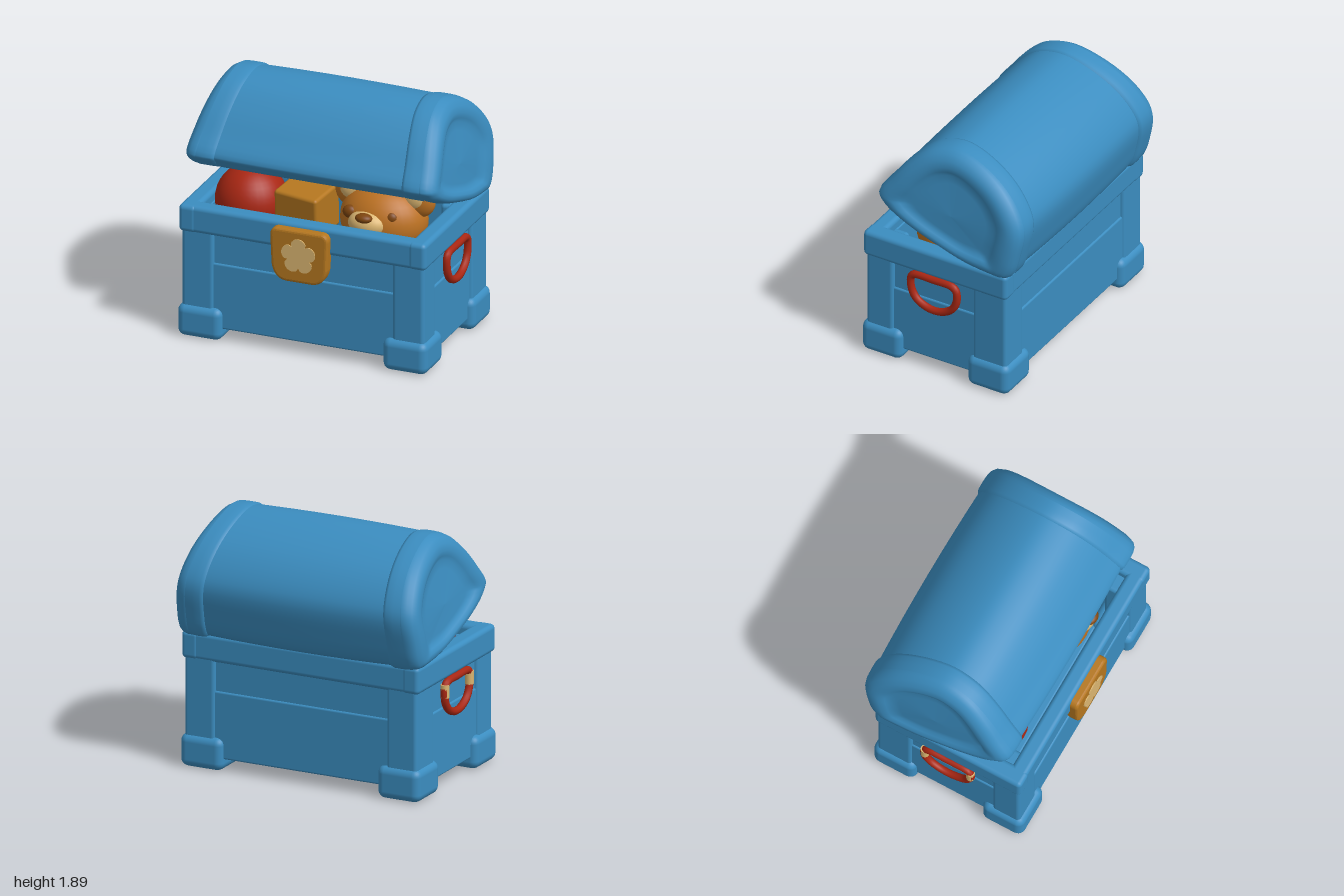
import * as THREE from 'three';
import { RoundedBoxGeometry } from 'three/addons/geometries/RoundedBoxGeometry.js';

const mat = (name, color) => Object.assign(new THREE.MeshStandardMaterial({ color }), { name });

export function createModel() {
  const blue = mat('blue', 0x3b8dc0), red = mat('red', 0xa92713), gold = mat('gold', 0xb5771f);
  const cream = mat('cream', 0xdcb671), orange = mat('orange', 0xbd7222), brown = mat('brown', 0x7d450f);
  const model = new THREE.Group();
  model.name = 'toyChest';

  const add = (name, geo, material, parent = model) => {
    const m = new THREE.Mesh(geo, material);
    m.name = name;
    parent.add(m);
    return m;
  };
  // Rounded box given by its limits
  const box = (name, x0, x1, y0, y1, z0, z1, r = 0.03, material = blue) => {
    const m = add(name, new RoundedBoxGeometry(x1 - x0, y1 - y0, z1 - z0, 3, r), material);
    m.position.set((x0 + x1) / 2, (y0 + y1) / 2, (z0 + z1) / 2);
    return m;
  };
  const ball = (name, x, y, z, sx, sy, sz, material) => {
    const m = add(name, new THREE.SphereGeometry(1, 32, 20), material);
    m.position.set(x, y, z);
    m.scale.set(sx, sy, sz);
    return m;
  };

  // Chest walls, with a stepped lower panel on front and back
  box('frontWall', -0.9, 0.9, 0.1, 0.95, 0.48, 0.58, 0.01);
  box('frontLowerPanel', -0.8, 0.8, 0.09, 0.6, 0.5, 0.592, 0.015);
  box('backWall', -0.9, 0.9, 0.1, 0.95, -0.545, -0.45, 0.01);
  box('backLowerPanel', -0.8, 0.8, 0.09, 0.6, -0.557, -0.48, 0.015);
  for (const s of [-1, 1]) {
    const side = (name, a, b, ...rest) => box(name, Math.min(s * a, s * b), Math.max(s * a, s * b), ...rest);
    side('sideWall', 0.82, 0.92, 0.1, 0.95, -0.5, 0.53, 0.01);
    side('sideLowerPanel', 0.84, 0.932, 0.09, 0.6, -0.5, 0.53, 0.015);
    side('sideRim', 0.83, 0.97, 0.82, 1.03, -0.585, 0.625, 0.035);
    side('frontPost', 0.7, 0.95, 0.09, 0.95, 0.38, 0.605, 0.03);
    side('backPost', 0.7, 0.95, 0.09, 0.95, -0.572, -0.29, 0.03);
    side('frontFoot', 0.63, 0.98, 0, 0.25, 0.3, 0.64, 0.06);
    side('backFoot', 0.63, 0.98, 0, 0.25, -0.6, -0.25, 0.06);
  }
  box('frontRim', -0.95, 0.95, 0.82, 1.03, 0.49, 0.62, 0.035);
  box('backRim', -0.95, 0.95, 0.82, 1.03, -0.58, -0.45, 0.035);

  // Floor planks
  for (let i = 0; i < 5; i++) {
    const z = -0.54 + i * 0.222;
    box('floorPlank', -0.9, 0.9, 0.09, 0.2, z, z + 0.222, 0.012);
  }

  // Lid cross-sections as [z, y]: outer arc, inner arc, underside of the end wall
  const outer = [[0.485, 1.34], [0.52, 1.39], [0.42, 1.54], [0.3, 1.69], [0.15, 1.82], [0, 1.875], [-0.12, 1.88],
    [-0.3, 1.825], [-0.48, 1.72], [-0.6, 1.6], [-0.675, 1.47], [-0.69, 1.37], [-0.66, 1.2], [-0.62, 1.06], [-0.58, 1.01]];
  const inner = [[-0.5, 1.03], [-0.57, 1.25], [-0.56, 1.45], [-0.4, 1.66], [-0.1, 1.77], [0.12, 1.7], [0.31, 1.5], [0.41, 1.285]];
  const under = [[-0.48, 1.01], [-0.25, 1.04], [0, 1.115], [0.25, 1.205], [0.42, 1.29]];
  const scaled = (pts, s) => pts.map(([z, y]) => [-0.1 + (z + 0.1) * s, 1.38 + (y - 1.38) * s]);

  // One ring at x; lean pulls it towards the middle with height
  const ring = (pts, x, lean = 0) => {
    const curve = new THREE.CatmullRomCurve3(pts.map(([z, y]) => new THREE.Vector3(0, y, z)), true);
    return curve.getPoints(pts.length * 4).slice(0, -1).map(p => {
      const h = Math.max(0, p.y - 1.1);
      return new THREE.Vector3(x - Math.sign(x) * lean * h * h, p.y, p.z);
    });
  };
  // Surface through rings ordered by rising x
  const loft = (name, rings) => {
    const n = rings[0].length, index = [];
    for (let i = 0; i + 1 < rings.length; i++) for (let j = 0; j < n; j++) {
      const k = (j + 1) % n, a = i * n, b = a + n;
      index.push(a + j, b + j, a + k, b + j, b + k, a + k);
    }
    const geo = new THREE.BufferGeometry().setFromPoints(rings.flat());
    geo.setIndex(index);
    geo.computeVertexNormals();
    return add(name, geo, blue);
  };
  const shell = s => [...scaled(outer, s), ...inner];
  const solid = s => scaled([...outer, ...under], s);

  // Slightly bulging hollow barrel
  loft('lidBarrel', [-0.82, -0.6, -0.4, -0.2, 0, 0.2, 0.4, 0.6, 0.82].map(x => ring(shell(1 - 0.045 * x * x), x)));

  // Raised end bands and solid end walls with a sunken panel
  const band = [[0.745, 0.95], [0.75, 0.985], [0.775, 1.003], [0.83, 1.005], [0.89, 1]];
  const wall = [[0.87, 0], [0.87, 0.97], [0.88, 0.995], [0.91, 1], [0.95, 0.98], [0.98, 0.94], [1, 0.86],
    [0.998, 0.76], [0.98, 0.68], [0.96, 0.62], [0.955, 0.5], [0.955, 0]];
  for (const s of [-1, 1]) {
    const order = rings => (s > 0 ? rings : rings.reverse());
    loft('lidBand', order(band.map(([x, k]) => ring(shell(k), s * x, 0.15))));
    loft('lidEnd', order(wall.map(([x, k]) => ring(solid(k), s * x, 0.23))));
  }

  // Clasp plate with a five-petal flower
  const plate = new THREE.Shape();
  plate.moveTo(-0.17, 0.98);
  plate.lineTo(0.17, 0.98);
  plate.quadraticCurveTo(0.205, 0.98, 0.205, 0.94);
  plate.lineTo(0.195, 0.72);
  plate.quadraticCurveTo(0.18, 0.62, 0.1, 0.615);
  plate.lineTo(-0.1, 0.615);
  plate.quadraticCurveTo(-0.18, 0.62, -0.195, 0.72);
  plate.lineTo(-0.205, 0.94);
  plate.quadraticCurveTo(-0.205, 0.98, -0.17, 0.98);
  add('clasp', new THREE.ExtrudeGeometry(plate, {
    depth: 0.06, bevelThickness: 0.02, bevelSize: 0.022, bevelSegments: 3 }), gold).position.z = 0.602;
  const petals = [];
  for (let i = 0; i < 60; i++) {
    const a = i / 60 * Math.PI * 2, r = 0.088 + 0.048 * Math.sqrt(Math.abs(Math.cos(a * 2.5)));
    petals.push(new THREE.Vector2(Math.sin(a) * r, Math.cos(a) * r));
  }
  add('claspFlower', new THREE.ExtrudeGeometry(new THREE.Shape(petals), { depth: 0.008, bevelEnabled: false }), cream)
    .position.set(0, 0.805, 0.682);

  // D-shaped side handles
  const dShape = [[0.19, 0.8], [0.02, 0.805], [-0.13, 0.8], [-0.165, 0.77], [-0.165, 0.67], [-0.12, 0.595], [-0.03, 0.548],
    [0.07, 0.548], [0.165, 0.595], [0.21, 0.67], [0.215, 0.77]];
  for (const s of [-1, 1]) {
    const path = new THREE.CatmullRomCurve3(dShape.map(([z, y]) => new THREE.Vector3(s * 0.968, y, z)), true);
    add('handle', new THREE.TubeGeometry(path, 64, 0.029, 10, true), red);
  }
  for (const z of [-0.165, 0.213])
    add('handleSleeve', new THREE.CylinderGeometry(0.032, 0.032, 0.1, 12), cream).position.set(-0.968, 0.74, z);

  // Toys inside
  ball('toyBall', -0.58, 0.97, 0.18, 0.265, 0.265, 0.265, red);
  const block = box('toyBlock', -0.31, 0.05, 0.82, 1.16, 0.05, 0.38, 0.025, gold);
  block.rotation.set(0.1, -0.15, -0.02);

  // Toy bear
  ball('bearBody', 0.45, 0.55, 0.1, 0.3, 0.36, 0.28, orange);
  ball('bearHead', 0.45, 0.98, 0.15, 0.33, 0.275, 0.27, orange);
  ball('bearMuzzle', 0.41, 1.01, 0.36, 0.15, 0.1, 0.11, cream);
  ball('bearNose', 0.41, 1.08, 0.44, 0.065, 0.035, 0.05, brown);
  for (const s of [-1, 1]) {
    ball('bearEye', 0.42 + s * 0.16, 1.07, 0.34, 0.055, 0.05, 0.04, brown);
    ball('bearEar', 0.46 + s * 0.26, 1.16, 0.15, 0.13, 0.13, 0.075, orange);
    ball('bearInnerEar', 0.455 + s * 0.25, 1.18, 0.2, 0.08, 0.075, 0.035, cream);
  }
  return model;
}
